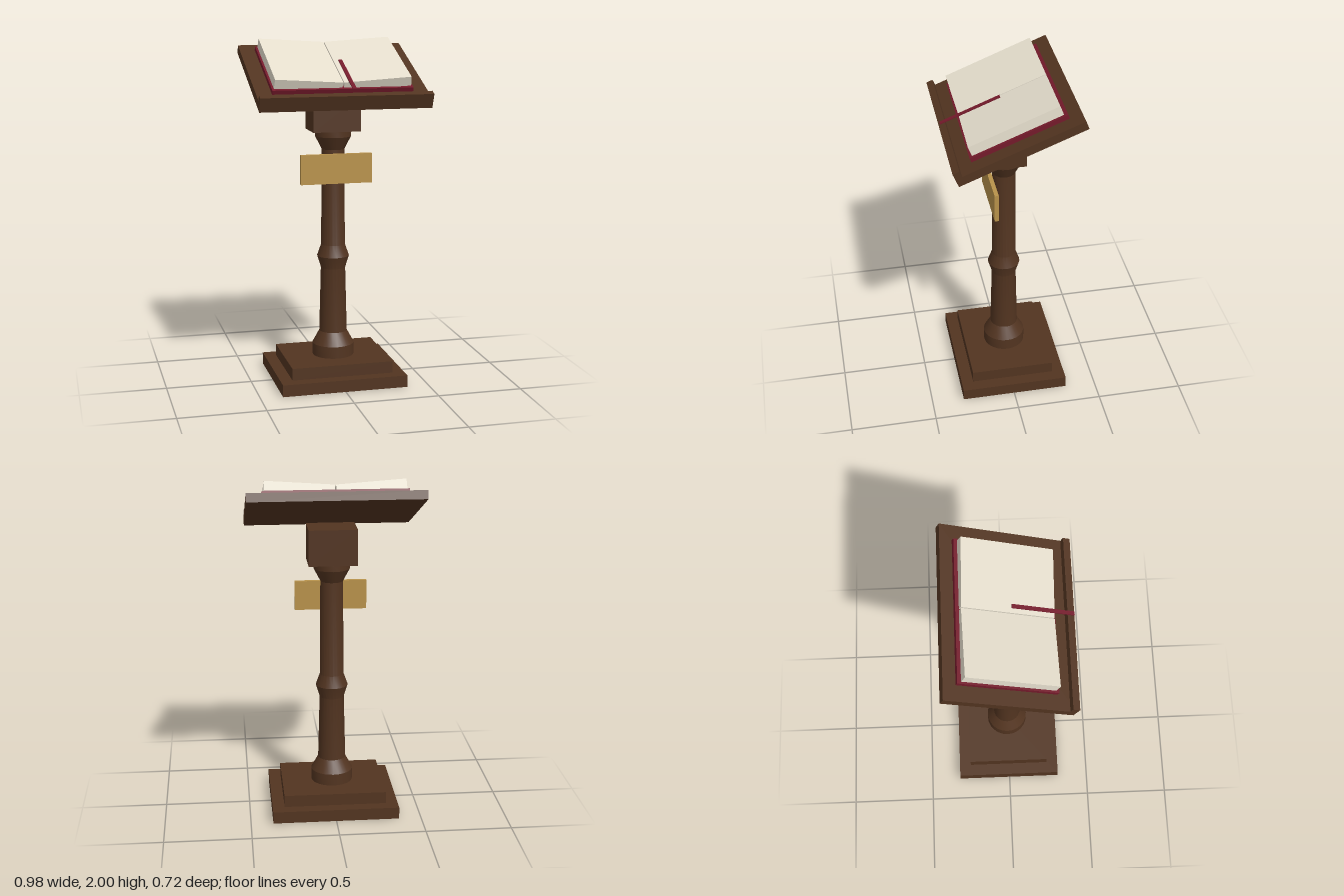
import * as THREE from 'three';
import { toCreasedNormals } from 'three/addons/utils/BufferGeometryUtils.js';

const material = (name, color) => {
  const m = new THREE.MeshStandardMaterial({ color });
  m.name = name;
  return m;
};

export function createModel() {
  const wood = material('dark wood', 0x523420);
  const brass = material('brass', 0xb8924a);
  const paper = material('paper', 0xe4ddcc);
  const red = material('dark red', 0x741a2b);

  const model = new THREE.Group();
  model.name = 'lectern';

  // Box given by its size and centre
  const box = (parent, name, mat, size, centre) => {
    const mesh = new THREE.Mesh(new THREE.BoxGeometry(...size), mat);
    mesh.name = name;
    mesh.position.set(...centre);
    parent.add(mesh);
    return mesh;
  };

  // Stand: stepped base, turned column, head block and plaque
  const stand = new THREE.Group();
  stand.name = 'stand';
  stand.position.z = -0.004;
  model.add(stand);
  box(stand, 'lowerBase', wood, [0.74, 0.07, 0.63], [0, 0.035, 0]);
  box(stand, 'upperBase', wood, [0.6, 0.07, 0.49], [0, 0.105, 0]);

  const profile = [
    [0, 0.14], [0.123, 0.14], [0.123, 0.21], [0.082, 0.285], [0.072, 0.67],
    [0.094, 0.742], [0.07, 0.81], [0.066, 1.375], [0.105, 1.45], [0.105, 1.485], [0, 1.485],
  ].map(([r, y]) => new THREE.Vector2(r, y));
  const column = new THREE.Mesh(toCreasedNormals(new THREE.LatheGeometry(profile, 24), 0.4), wood);
  column.name = 'column';
  stand.add(column);

  box(stand, 'headBlock', wood, [0.28, 0.208, 0.208], [0, 1.588, 0]);
  box(stand, 'plaque', brass, [0.42, 0.172, 0.024], [0, 1.269, 0.079]);

  // Sloping desk: origin at the middle of the board's underside
  const desk = new THREE.Group();
  desk.name = 'desk';
  desk.position.set(0, 1.7725, -0.0175);
  desk.rotation.x = 0.38;
  model.add(desk);
  box(desk, 'board', wood, [0.984, 0.05, 0.74], [0, 0.025, 0]);
  box(desk, 'lip', wood, [0.984, 0.037, 0.039], [0, 0.0685, 0.3505]);

  // Open book: cover, two tilted page blocks and a ribbon
  box(desk, 'bookCover', red, [0.808, 0.025, 0.562], [0, 0.0625, -0.019]);
  for (const side of [-1, 1]) {
    const pages = box(desk, side > 0 ? 'leftPages' : 'rightPages', paper,
      [0.388, 0.055, 0.525], [side * 0.198, 0.0925, -0.0175]);
    pages.rotation.z = side * 0.07;
  }
  box(desk, 'ribbon', red, [0.022, 0.006, 0.358], [0.035, 0.122, 0.175]);

  return model;
}
